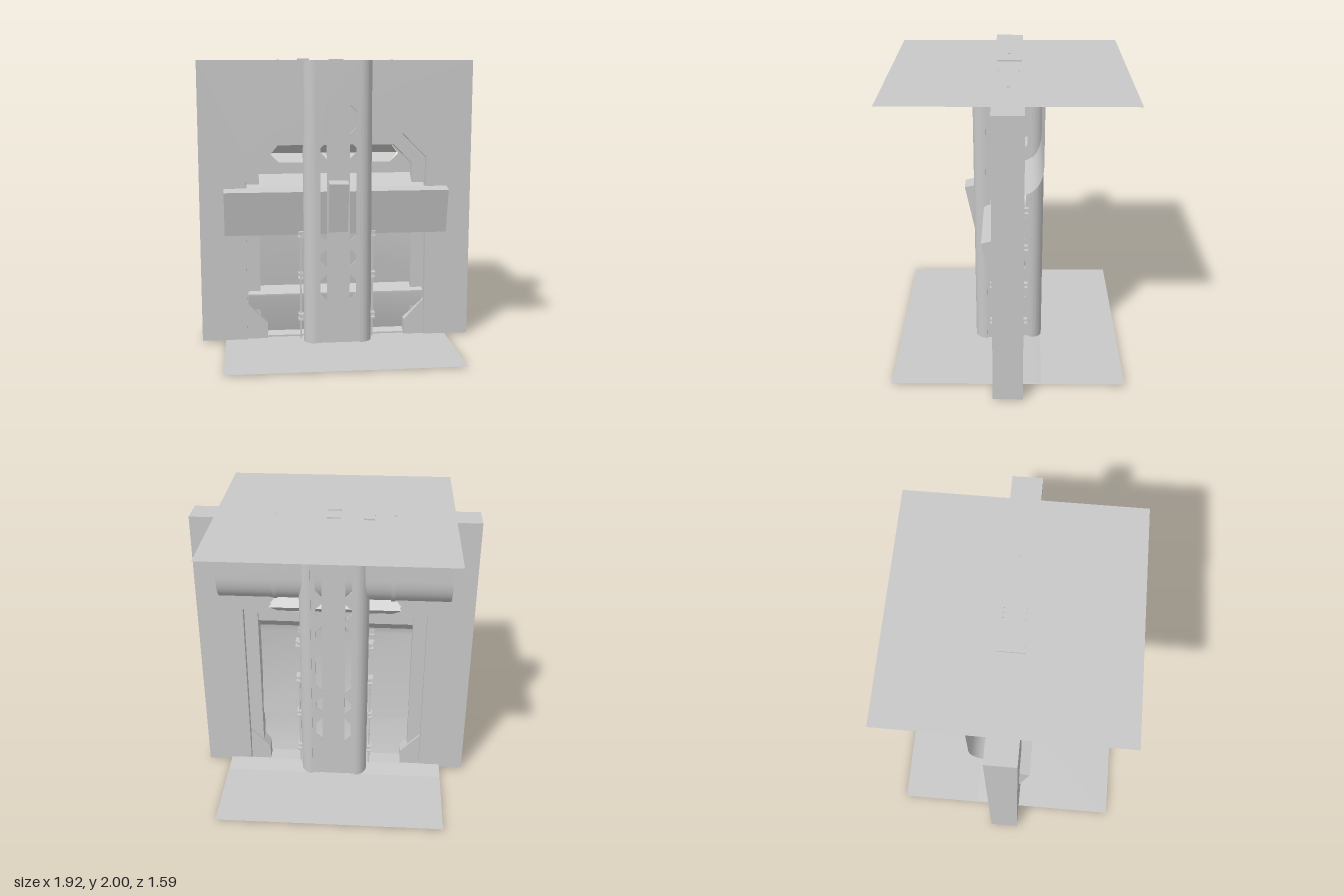
import * as THREE from 'three';
import { toCreasedNormals } from 'three/addons/utils/BufferGeometryUtils.js';

const grey = new THREE.MeshStandardMaterial({ color: 0xc8c8c8, side: THREE.DoubleSide });
grey.name = 'plain grey';

const SIDES = [-1, 1];

function add(parent, name, geometry, x = 0, y = 0, z = 0) {
  const mesh = new THREE.Mesh(geometry, grey);
  mesh.name = name;
  mesh.position.set(x, y, z);
  parent.add(mesh);
  return mesh;
}

// box given by its extents
function box(parent, name, x0, x1, y0, y1, z0, z1) {
  return add(parent, name, new THREE.BoxGeometry(x1 - x0, y1 - y0, z1 - z0),
    (x0 + x1) / 2, (y0 + y1) / 2, (z0 + z1) / 2);
}

const outline = pts => new THREE.Shape(pts.map(p => new THREE.Vector2(...p)));
const mirrorPts = pts => [...pts, ...pts.map(([x, y]) => [-x, y]).reverse()];

// outline in x,y given a depth along z
function slab(pts, z0, z1, holes = []) {
  const shape = outline(pts);
  shape.holes = holes.map(h => new THREE.Path(h.map(p => new THREE.Vector2(...p))));
  return new THREE.ExtrudeGeometry(shape, { depth: z1 - z0, bevelEnabled: false }).translate(0, 0, z0);
}

// profile in z,y extruded along x
function prism(pts, x0, x1) {
  return slab(pts.map(([z, y]) => [-z, y]), x0, x1).rotateY(Math.PI / 2);
}

// open sheet through rows of [z, y, half width]
function sheet(rows) {
  const pos = [];
  for (let i = 0; i < rows.length - 1; i++) {
    const [z0, y0, w0] = rows[i], [z1, y1, w1] = rows[i + 1];
    pos.push(-w0, y0, z0, -w1, y1, z1, w1, y1, z1);
    pos.push(-w0, y0, z0, w1, y1, z1, w0, y0, z0);
  }
  const g = new THREE.BufferGeometry();
  g.setAttribute('position', new THREE.Float32BufferAttribute(pos, 3));
  g.computeVertexNormals();
  return toCreasedNormals(g, 0.5);
}

function makePillar() {
  const pillar = new THREE.Group();
  pillar.name = 'pillar';
  const bottom = 0.01, top = 1.99;

  // slots with chamfered outer corners
  const holes = [];
  for (const [y0, y1] of [[0.32, 0.51], [0.56, 0.69], [0.74, 1.27], [1.32, 1.44], [1.49, 1.69]]) {
    for (const s of SIDES) {
      holes.push([[0.08, y0], [0.125, y0 + 0.045], [0.125, y1 - 0.045], [0.08, y1]].map(([x, y]) => [s * x, y]));
    }
  }
  const panel = slab(mirrorPts([[0.16, bottom], [0.16, top]]), 0.216, 0.228, holes);

  // rounded corner post standing slightly proud of the panels
  const post = new THREE.Shape();
  post.moveTo(0.155, 0.21);
  post.lineTo(0.155, 0.24);
  post.absarc(0.155, 0.155, 0.085, Math.PI / 2, 0, true);
  post.lineTo(0.21, 0.155);
  const postGeo = toCreasedNormals(
    new THREE.ExtrudeGeometry(post, { depth: top - bottom, bevelEnabled: false, curveSegments: 10 })
      .rotateX(-Math.PI / 2).translate(0, bottom, 0), 0.6);

  for (let i = 0; i < 4; i++) {
    add(pillar, 'slottedPanel', panel).rotation.y = i * Math.PI / 2;
    add(pillar, 'cornerPost', postGeo).rotation.y = i * Math.PI / 2;
  }
  // narrow wedge on the front
  add(pillar, 'smallWedge', prism([[0.225, 1.172], [0.24, 1.17], [0.31, 1.155], [0.24, 0.81], [0.225, 0.81]], -0.07, 0.065));
  return pillar;
}

function makeGateway() {
  const gate = new THREE.Group();
  gate.name = 'gateway';

  // wall with the arched opening
  add(gate, 'wall', slab(mirrorPts([[0.47, 1.48], [0.64, 1.31], [0.64, 0.01], [0.96, 0.01], [0.96, 1.99]]), -0.1, 0.1));

  // arch lining and its feet
  const outer = [[-0.64, 0.01], [-0.64, 1.31], [-0.47, 1.48], [0.47, 1.48], [0.64, 1.31], [0.64, 0.01]];
  const inner = [[0.545, 0.01], [0.545, 1.265], [0.41, 1.4], [-0.41, 1.4], [-0.545, 1.265], [-0.545, 0.01]];
  add(gate, 'archLining', slab([...outer, ...inner], -0.05, 0.05));
  for (const s of SIDES) {
    const foot = [[0.64, 0.01], [0.495, 0.01], [0.495, 0.12], [0.635, 0.27]].map(([x, y]) => [s * x, y]);
    add(gate, 'archFoot', slab(foot, -0.07, 0.085));
    box(gate, 'archBlock', s * 0.3 - 0.042, s * 0.3 + 0.042, 1.435, 1.485, 0.0, 0.08);
  }

  // upper infill with a six-sided window niche
  const windowHole = [[-0.4, 1.27], [-0.46, 1.33], [-0.4, 1.4], [0.4, 1.4], [0.46, 1.33], [0.4, 1.27]];
  add(gate, 'upperInfill', slab(mirrorPts([[0.55, 1.19], [0.55, 1.27], [0.42, 1.41]]), -0.024, -0.02, [windowHole]));
  add(gate, 'windowNiche', sheet([[-0.02, 1.27, 0.4], [-0.09, 1.33, 0.46], [-0.02, 1.4, 0.4]]));

  // leaning plates with ledges between them
  const w = 0.63;
  add(gate, 'leaningPlates', sheet([
    [-0.02, 1.19, w], [0.0, 1.17, w], [0.08, 1.1, w], [0.09, 1.05, w], [0.0, 0.38, w],
    [0.08, 0.335, w], [0.08, 0.32, w], [0.0, 0.04, w], [0.06, 0.022, w], [0.06, 0.01, w]]));

  // wide wedge across the front
  add(gate, 'wideWedge', prism([[0.09, 1.108], [0.1, 1.105], [0.17, 1.085], [0.1, 0.77], [0.09, 0.77]], -0.79, 0.79));
  return gate;
}

function makeHood() {
  const hood = new THREE.Group();
  hood.name = 'rearHood';
  const curve = new THREE.QuadraticBezierCurve(
    new THREE.Vector2(-0.22, 1.62), new THREE.Vector2(-0.22, 1.46), new THREE.Vector2(-0.1, 1.42));
  const path = [[-0.22, 1.99], ...curve.getPoints(12).map(p => [p.x, p.y])];
  add(hood, 'hoodShell', sheet(path.map(([z, y]) => [z, y, 0.79])));
  // narrow ribs over the shell
  for (const s of SIDES) {
    const rib = add(hood, 'hoodRib', sheet(path.map(([z, y]) => [z - 0.008, y - 0.004, 0.015])));
    rib.position.x = s * 0.4;
    box(hood, 'ribEnd', s * 0.4 - 0.008, s * 0.4 + 0.008, 1.98, 1.995, -0.01, 0.01);
  }
  return hood;
}

// rod with forked clips, beside the pillar
function makeClipRod(sx, sz) {
  const rod = new THREE.Group();
  rod.name = 'clipRod';
  box(rod, 'rod', -0.006, 0.006, 0.01, 0.77, -0.006, 0.006);
  for (const y of [0.17, 0.47, 0.77, 1.06]) {
    box(rod, 'clipBase', -0.02, 0.005, y - 0.025, y + 0.025, -0.012, 0.012);
    for (const d of SIDES) {
      box(rod, 'clipProng', -0.015, 0.018, y + d * 0.018 - 0.006, y + d * 0.018 + 0.006, -0.035, 0.035);
    }
  }
  rod.position.set(sx * 0.257, 0, sz * 0.1);
  if (sx < 0) rod.rotation.y = Math.PI;
  return rod;
}

export function createModel() {
  const model = new THREE.Group();
  model.name = 'gatewayWithPillar';

  // floor and ceiling sheets
  for (const [name, y] of [['floor', 0.01], ['ceiling', 1.99]]) {
    add(model, name, new THREE.PlaneGeometry(1.59, 1.59).rotateX(-Math.PI / 2), 0, y, 0);
  }
  box(model, 'floorSill', -0.5, 0.5, 0, 0.009, -0.08, 0.08);
  add(model, 'rearThreshold', sheet([[-0.1, 0.03, 0.79], [-0.16, 0.022, 0.79], [-0.23, 0.012, 0.79]]));

  // small pieces on the ceiling
  box(model, 'ceilingBlock', -0.262, -0.19, 1.985, 2, -0.09, 0.085);
  for (const s of SIDES) box(model, 'ceilingFin', -0.04, 0.05, 1.985, 1.998, s * 0.07 - 0.003, s * 0.07 + 0.003);

  model.add(makeGateway(), makePillar(), makeHood());
  for (const sx of SIDES) for (const sz of SIDES) model.add(makeClipRod(sx, sz));
  return model;
}
